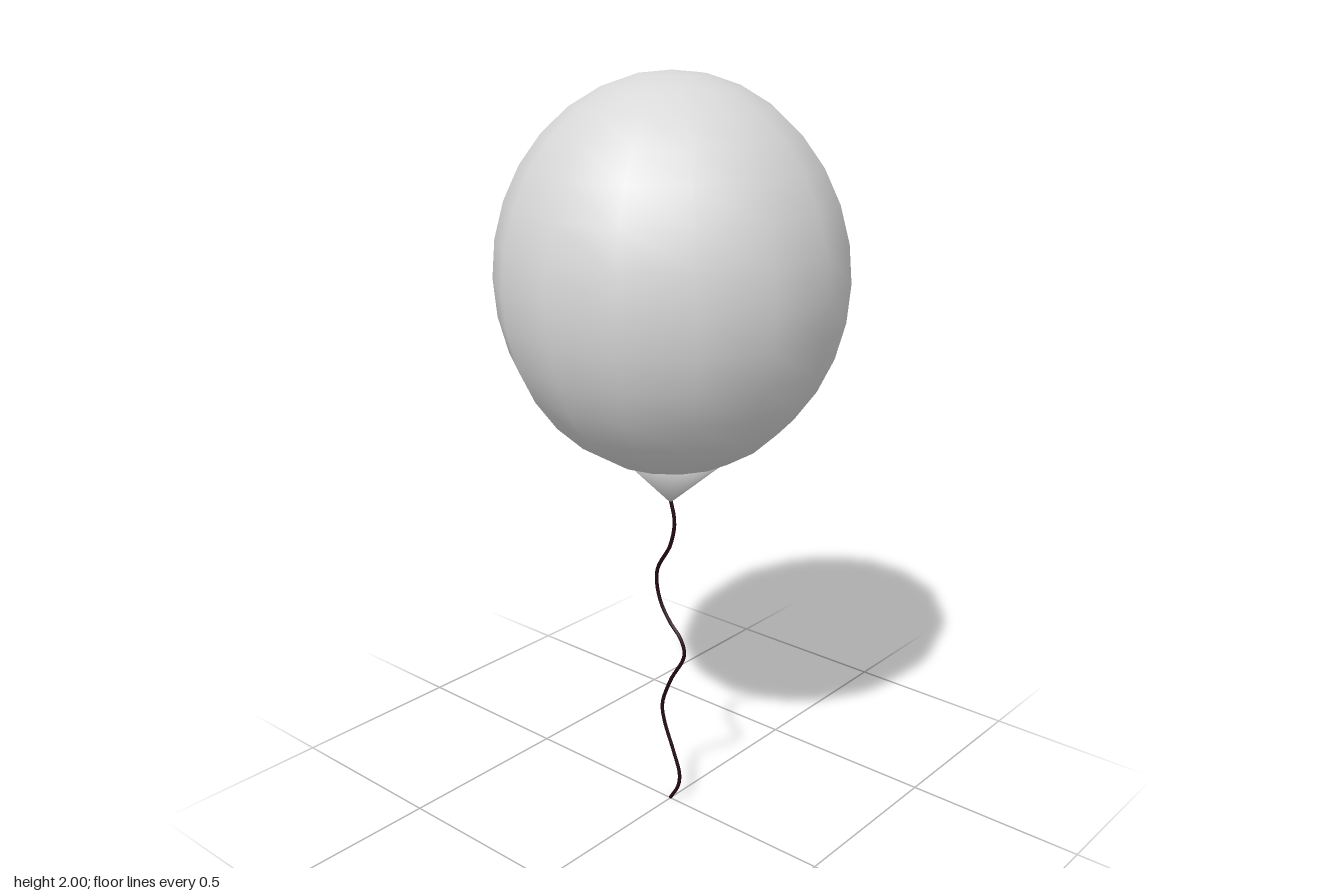
import * as THREE from 'three';
import { mergeVertices } from 'three/addons/utils/BufferGeometryUtils.js';

const mat = (name, color) => Object.assign(new THREE.MeshStandardMaterial({ color }), { name });

export function createModel() {
  const group = new THREE.Group();
  const rubber = mat('light grey rubber', 0xd8d8d8);
  const ink = mat('black ink', 0x181818);
  ink.side = THREE.DoubleSide;
  const cord = mat('dark cord', 0x240a14);

  const add = (name, geometry, material) => {
    const mesh = new THREE.Mesh(geometry, material);
    mesh.name = name;
    group.add(mesh);
    return mesh;
  };

  // Balloon body: 15-sided ellipsoid with one corner facing +z
  const bodyGeo = new THREE.SphereGeometry(1, 15, 16, Math.PI / 2);
  bodyGeo.scale(0.446, 0.5, 0.446).translate(0, 1.5, -0.005);
  const body = add('balloon', bodyGeo, rubber);

  // Neck: flattened cone pointing down, shaded smoothly over its rim
  let neckGeo = new THREE.ConeGeometry(1, 0.14, 24);
  neckGeo.deleteAttribute('normal');
  neckGeo.deleteAttribute('uv');
  neckGeo = mergeVertices(neckGeo);
  neckGeo.rotateX(Math.PI).scale(0.165, 1, 0.127).translate(0, 0.97, 0);
  neckGeo.computeVertexNormals();
  add('neck', neckGeo, rubber);

  // String: wavy cord in the x-y plane
  const wave = [[0, 0.91], [0.014, 0.85], [0, 0.78], [-0.048, 0.69], [-0.038, 0.61], [0.0, 0.55],
    [0.035, 0.515], [0.05, 0.47], [0.0, 0.375], [-0.03, 0.29], [-0.022, 0.24], [0.01, 0.16],
    [0.034, 0.09], [0.028, 0.05], [0, 0.002]];
  const path = new THREE.CatmullRomCurve3(wave.map(([x, y]) => new THREE.Vector3(x, y, 0)));
  add('string', new THREE.TubeGeometry(path, 56, 0.005, 6), cord);

  // Finds the point on the back of the balloon behind (x, y), lifted slightly off it
  const ray = new THREE.Raycaster();
  const toBack = (x, y) => {
    ray.set(new THREE.Vector3(x, y, -2), new THREE.Vector3(0, 0, 1));
    const hit = ray.intersectObject(body)[0];
    return hit.point.addScaledVector(hit.face.normal, 0.004);
  };

  // Painted stroke: a thin ribbon following a flat curve, laid on the balloon
  const stroke = (name, curve, width, steps) => {
    const pos = [], index = [];
    const across = 4;
    for (let i = 0; i <= steps; i++) {
      const t = i / steps;
      const p = curve.getPointAt(t), d = curve.getTangentAt(t);
      // rounded ends
      const fromEnd = Math.min(t, 1 - t) * curve.getLength() / (width / 2);
      const half = (width / 2) * (fromEnd < 1 ? Math.sqrt(1 - 0.75 * (1 - fromEnd) ** 2) : 1);
      for (let j = 0; j <= across; j++) {
        const s = half * (2 * j / across - 1);
        const q = toBack(p.x - d.y * s, p.y + d.x * s);
        pos.push(q.x, q.y, q.z);
        if (i < steps && j < across) {
          const a = i * (across + 1) + j, b = a + across + 1;
          index.push(a, a + 1, b, b, a + 1, b + 1);
        }
      }
    }
    const geo = new THREE.BufferGeometry();
    geo.setAttribute('position', new THREE.Float32BufferAttribute(pos, 3));
    geo.setIndex(index);
    geo.computeVertexNormals();
    add(name, geo, ink);
  };

  // Face on the back side
  for (const [name, x] of [['leftEye', 0.157], ['rightEye', -0.157]]) {
    stroke(name, new THREE.LineCurve(new THREE.Vector2(x, 1.725), new THREE.Vector2(x, 1.575)), 0.037, 24);
  }
  const smile = new THREE.EllipseCurve(0, 1.405, 0.152, 0.165, Math.PI * 1.02, Math.PI * 1.98);
  stroke('smile', smile, 0.027, 60);

  return group;
}
